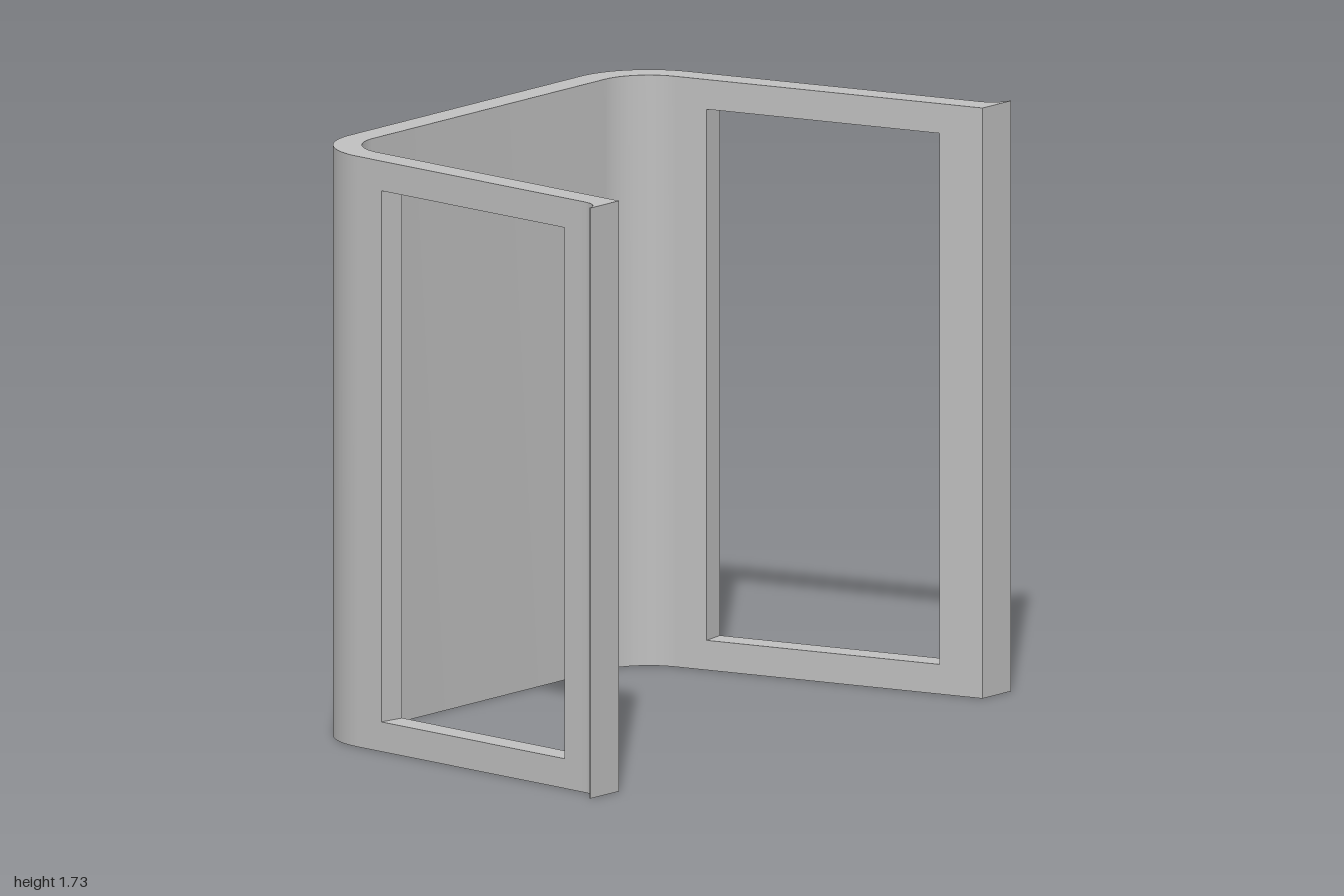
import * as THREE from 'three';
import { toCreasedNormals } from 'three/addons/utils/BufferGeometryUtils.js';

const HEIGHT = 1.728;
const DEPTH = 0.603;               // half depth
const TILT = THREE.MathUtils.degToRad(9);
const R_OUT = 0.243, R_IN = 0.16;  // corner radii, wall thickness is the difference
const CX = 0.55, CZ = -DEPTH + R_OUT;
const JOIN = 0.93;                 // where the side frame meets the front post
const SIN = Math.sin(TILT), COS = Math.cos(TILT);

// Point on a side wall: r outward from the corner centre, s forward along the wall
const wall = (side, r, s) => new THREE.Vector2(side * (CX + COS * r + SIN * s), CZ - SIN * r + COS * s);

// Extrude a floor-plan shape (x, z) upward to the full height
function upright(plan) {
  const geometry = new THREE.ExtrudeGeometry(plan, { depth: HEIGHT, bevelEnabled: false, curveSegments: 24 });
  geometry.rotateX(Math.PI / 2).translate(0, HEIGHT, 0);
  return toCreasedNormals(geometry, 0.5);
}

// Flat back with its two rounded corners
function backGeometry() {
  const q = Math.PI / 2, e = Math.PI - TILT;
  const plan = new THREE.Shape();
  plan.absarc(CX, CZ, R_OUT, -TILT, -q, true);
  plan.absarc(-CX, CZ, R_OUT, -q, -e, true);
  plan.absarc(-CX, CZ, R_IN, -e, -q, false);
  plan.absarc(CX, CZ, R_IN, -q, -TILT, false);
  plan.closePath();
  return upright(plan);
}

// Straight side wall with a tall rectangular opening
function sideGeometry() {
  const rect = (path, s0, y0, s1, y1) =>
    path.moveTo(s0, y0).lineTo(s1, y0).lineTo(s1, y1).lineTo(s0, y1).closePath();
  const shape = new THREE.Shape();
  rect(shape, 0, 0, JOIN, HEIGHT);
  const opening = new THREE.Path();
  rect(opening, 0.102, 0.087, 0.861, 1.641);
  shape.holes.push(opening);
  return new THREE.ExtrudeGeometry(shape, { depth: R_OUT - R_IN, bevelEnabled: false });
}

// Front edge of a side wall, flaring outward to a thin lip
function postGeometry(side) {
  const a = wall(side, R_IN, JOIN), b = wall(side, R_OUT, JOIN), c = wall(side, R_OUT, 0.945);
  const front = wall(side, R_IN, (DEPTH - CZ + SIN * R_IN) / COS);
  const plan = new THREE.Shape();
  plan.moveTo(a.x, a.y);
  plan.lineTo(b.x, b.y);
  plan.lineTo(c.x, c.y);
  plan.quadraticCurveTo(side * 0.947, 0.59, side, DEPTH - 0.004);
  plan.lineTo(side, DEPTH);
  plan.lineTo(front.x, front.y);
  plan.closePath();
  return upright(plan);
}

export function createModel() {
  const model = new THREE.Group();
  model.name = 'openScreen';
  const grey = new THREE.MeshStandardMaterial({ color: 0xc0c0c0 });
  grey.name = 'light grey';

  const add = (name, geometry) => {
    const mesh = new THREE.Mesh(geometry, grey);
    mesh.name = name;
    model.add(mesh);
    return mesh;
  };

  add('backPanel', backGeometry());
  for (const side of [1, -1]) {
    const label = side > 0 ? 'left' : 'right';
    const frame = add(label + 'SideFrame', sideGeometry());
    const start = wall(side, side > 0 ? R_OUT : R_IN, 0);
    frame.position.set(start.x, 0, start.y);
    frame.rotation.y = side * TILT - Math.PI / 2;
    add(label + 'FrontPost', postGeometry(side));
  }
  return model;
}
